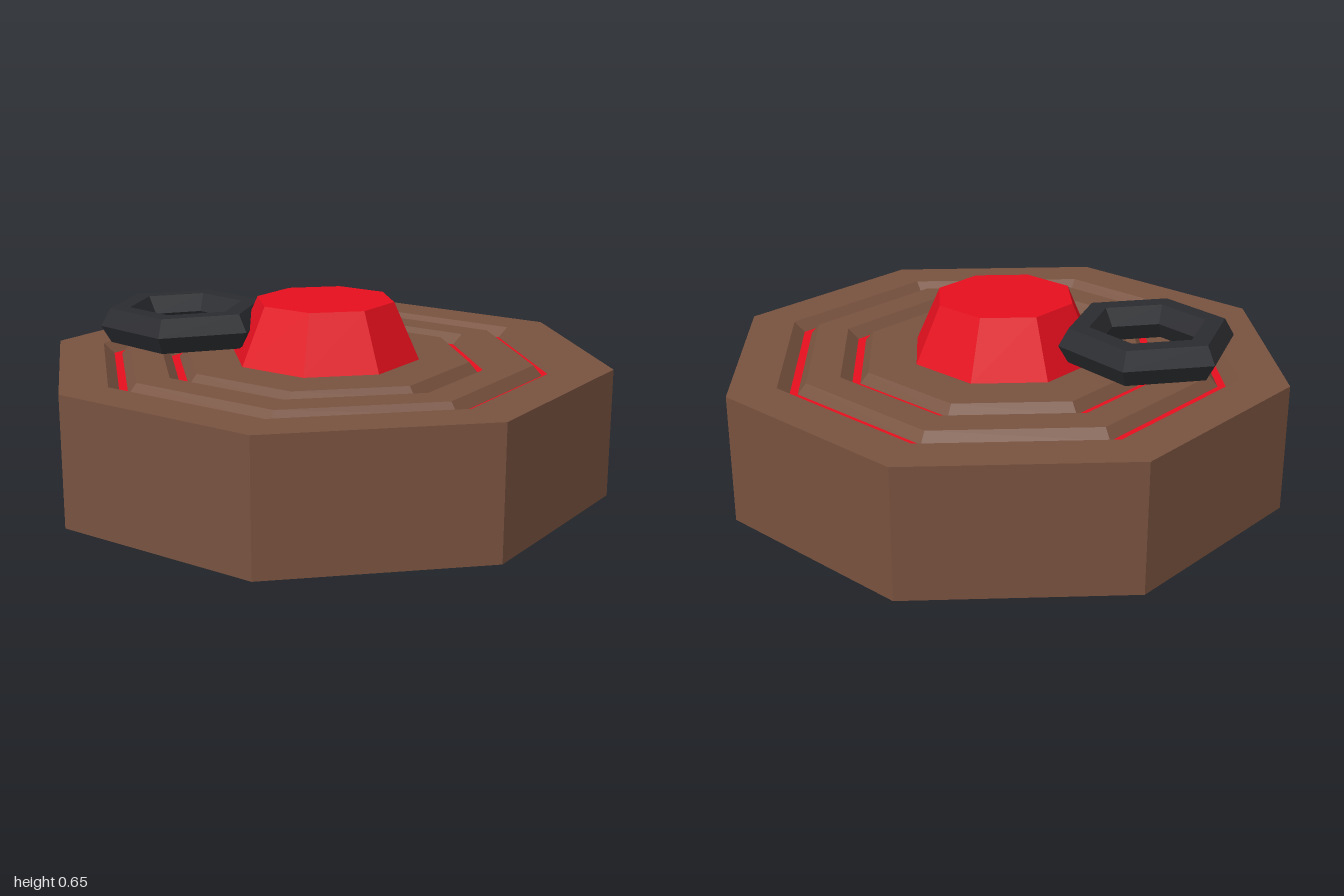
import * as THREE from 'three';

const SIDES = 8;
const TOP = 0.45;     // height of the base
const FLOOR = 0.415;  // bottom of the grooves

const paint = (color) => new THREE.MeshStandardMaterial({ color, flatShading: true });

// Octagonal surface turned from [radius, height] points
function turned(name, points, material) {
  const profile = points.map(([r, y]) => new THREE.Vector2(r, y));
  const mesh = new THREE.Mesh(new THREE.LatheGeometry(profile, SIDES), material);
  mesh.name = name;
  return mesh;
}

export function createModel() {
  const group = new THREE.Group();
  group.name = 'octagonalButton';
  const brown = paint(0x78523f);
  const red = paint(0xe60f1e);
  const black = paint(0x2b2c30);

  // Base: underside, outer wall and rim down into the first groove
  group.add(turned('base', [[0, 0], [1, 0], [1, TOP], [0.83, TOP], [0.79, FLOOR]], brown));

  // Raised ring between the two grooves
  group.add(turned('middleRing', [[0.76, FLOOR], [0.73, TOP], [0.61, TOP], [0.57, FLOOR]], brown));

  // Inner plateau under the knob
  group.add(turned('plateau', [[0.54, FLOOR], [0.51, TOP], [0, TOP]], brown));

  // Red groove floors
  group.add(turned('outerGrooveFloor', [[0.79, FLOOR], [0.76, FLOOR]], red));
  group.add(turned('innerGrooveFloor', [[0.57, FLOOR], [0.54, FLOOR]], red));

  // Tapered centre knob
  const knob = new THREE.Mesh(new THREE.CylinderGeometry(0.245, 0.335, 0.2, SIDES), red);
  knob.name = 'knob';
  knob.position.y = TOP + 0.1;
  group.add(knob);

  // Six-sided ring lying flat beside the knob, corners toward front and back
  const ringGeometry = new THREE.TorusGeometry(0.237, 0.07, 6, 6);
  ringGeometry.rotateX(Math.PI / 2).rotateY(Math.PI / 2);
  const ring = new THREE.Mesh(ringGeometry, black);
  ring.name = 'sideRing';
  ring.position.set(-0.51, 0.55, 0);
  group.add(ring);

  return group;
}
